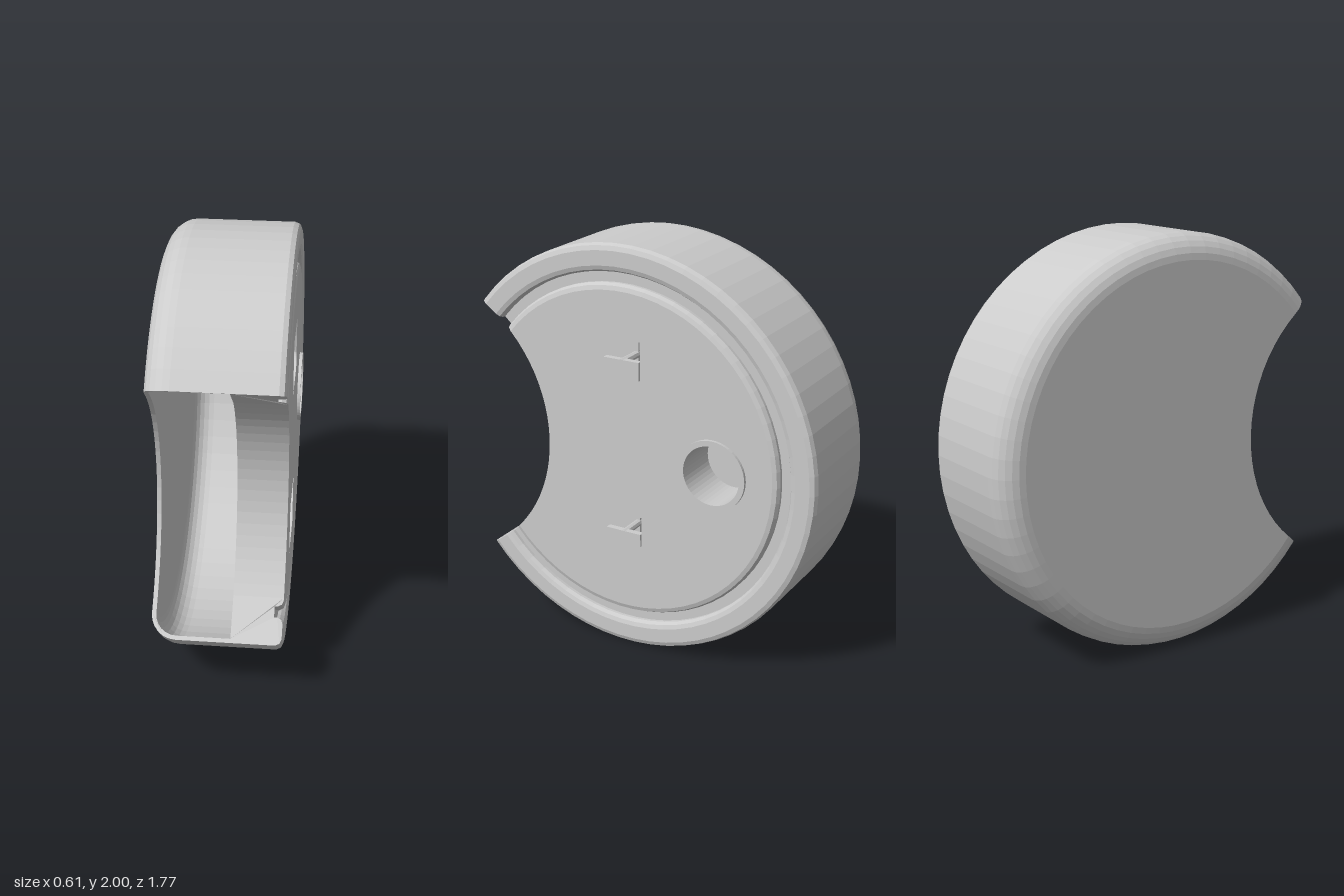
import * as THREE from 'three';

// Local frame: disc axis along Z, disc centre at the origin, cut-out on the -X side.
const CUT_D = 1.1385, CUT_R = 0.7385, SEG = 52;
const mat = new THREE.MeshStandardMaterial({ color: 0xcccccc, flatShading: true });

// Angle from -X at which a circle of radius r leaves the round cut-out
const cutAngle = r => Math.acos((r * r + CUT_D * CUT_D - CUT_R * CUT_R) / (2 * r * CUT_D));

function rimPoint(r, j) {
  const a0 = cutAngle(r);
  const a = a0 + (2 * Math.PI - 2 * a0) * j / SEG;
  return [-r * Math.cos(a), r * Math.sin(a)];
}

// Disc of radius r with the round bite taken out
function bittenShape(r) {
  const pts = [];
  for (let j = 0; j <= SEG; j++) pts.push(new THREE.Vector2(...rimPoint(r, j)));
  const aMax = Math.asin(r * Math.sin(cutAngle(r)) / CUT_R), n = 20;
  for (let i = 1; i < n; i++) {
    const a = -aMax + 2 * aMax * i / n;
    pts.push(new THREE.Vector2(-CUT_D + CUT_R * Math.cos(a), CUT_R * Math.sin(a)));
  }
  return new THREE.Shape(pts);
}

function add(parent, name, geometry, x = 0, y = 0, z = 0) {
  const mesh = new THREE.Mesh(geometry, mat);
  mesh.name = name;
  mesh.position.set(x, y, z);
  parent.add(mesh);
  return mesh;
}

const slab = (shape, depth) =>
  new THREE.ExtrudeGeometry(shape, { depth, bevelEnabled: false, curveSegments: 24 });

// Sweeps a closed (radius, z) profile round the axis, stopping at the cut-out
function sweepRim(profile) {
  const pos = [], index = [], n = profile.length;
  for (const p of profile) {
    for (let j = 0; j <= SEG; j++) pos.push(...rimPoint(p.x, j), p.y);
  }
  const id = (i, j) => (i % n) * (SEG + 1) + j;
  for (let i = 0; i < n; i++) {
    for (let j = 0; j < SEG; j++) {
      index.push(id(i, j), id(i + 1, j), id(i, j + 1));
      index.push(id(i + 1, j), id(i + 1, j + 1), id(i, j + 1));
    }
  }
  for (const [a, b, c] of THREE.ShapeUtils.triangulateShape(profile, [])) {
    index.push(id(a, SEG), id(b, SEG), id(c, SEG), id(a, 0), id(c, 0), id(b, 0));
  }
  const g = new THREE.BufferGeometry();
  g.setAttribute('position', new THREE.Float32BufferAttribute(pos, 3));
  g.setIndex(index);
  g.computeVertexNormals();
  return g;
}

// Quarter round between the back plate and the side wall
function backRound(radius, reverse) {
  const pts = [];
  for (let i = 0; i <= 6; i++) {
    const a = Math.PI / 2 * i / 6;
    pts.push(new THREE.Vector2(0.88 + radius * Math.sin(a), -0.185 - radius * Math.cos(a)));
  }
  return reverse ? pts.reverse() : pts;
}

export function createModel() {
  const group = new THREE.Group();
  group.name = 'roundHousing';
  const body = new THREE.Group();
  body.name = 'body';
  body.rotation.y = Math.PI / 2;
  body.position.set(0, 1, 0.115);
  group.add(body);

  // Side wall with rounded back edge, front rim and the groove round the cover
  const front = [
    [1, 0.26], [0.991, 0.281], [0.97, 0.29],
    [0.9, 0.29], [0.88, 0.283], [0.87, 0.265], [0.87, 0.25],
    [0.82, 0.25], [0.82, 0.265], [0.81, 0.283], [0.79, 0.29],
    [0.78, 0.29], [0.78, 0.06], [0.98, 0.06],
  ].map(p => new THREE.Vector2(...p));
  add(body, 'sideWall', sweepRim([...backRound(0.12), ...front, ...backRound(0.1, true)]));

  // Back plate closing the hollow
  add(body, 'backPlate', slab(bittenShape(0.88), 0.02), 0, 0, -0.305);

  // Thick cover with two square sockets and a round port
  const portX = 0.49, socketX = -0.02, socketY = 0.435, half = 0.133;
  const cover = bittenShape(0.78);
  cover.holes.push(new THREE.Path().absarc(portX, 0, 0.17, 0, Math.PI * 2, true));
  for (const s of [1, -1]) {
    const y = s * socketY;
    cover.holes.push(new THREE.Path([
      [-half, -half], [-half, half], [half, half], [half, -half],
    ].map(([a, b]) => new THREE.Vector2(socketX + a, y + b))));
  }
  add(body, 'cover', slab(cover, 0.22), 0, 0, 0.07);
  add(body, 'coverFloor', slab(bittenShape(0.78), 0.01), 0, 0, 0.06);

  // Raised collar lining the port
  const ring = new THREE.Shape().absarc(portX, 0, 0.17, 0, Math.PI * 2, false);
  ring.holes.push(new THREE.Path().absarc(portX, 0, 0.143, 0, Math.PI * 2, true));
  add(body, 'portCollar', slab(ring, 0.235), 0, 0, 0.07);

  // Cross bar on a short post and a rib across the floor of each socket
  for (const s of [1, -1]) {
    const socket = new THREE.Group();
    socket.name = s > 0 ? 'upperSocket' : 'lowerSocket';
    socket.position.set(socketX, s * socketY, 0);
    body.add(socket);
    add(socket, 'crossBar', new THREE.BoxGeometry(0.19, 0.028, 0.03), 0, 0, 0.225);
    const post = add(socket, 'post', new THREE.CylinderGeometry(0.018, 0.018, 0.165, 8), 0, 0, 0.1525);
    post.rotation.x = Math.PI / 2;
    add(socket, 'floorRib', new THREE.BoxGeometry(0.02, 2 * half, 0.03), 0, 0, 0.085);
  }
  return group;
}
